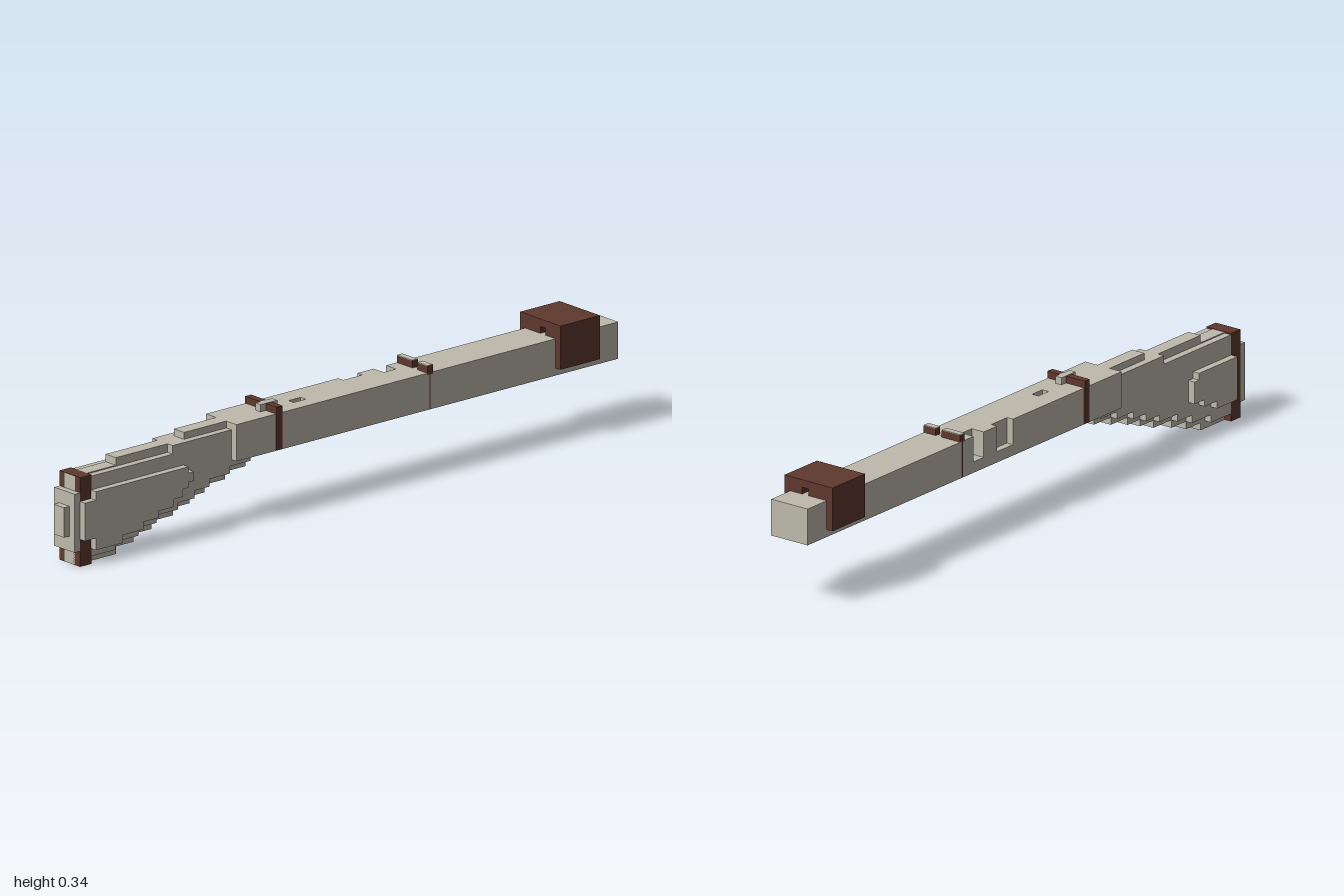
import * as THREE from 'three';

const wood = new THREE.MeshStandardMaterial({ color: 0xbebaac });
wood.name = 'pale grey';
const metal = new THREE.MeshStandardMaterial({ color: 0x5f392d });
metal.name = 'dark brown';

const toPath = (pts, P = THREE.Shape) => new P(pts.map(p => new THREE.Vector2(...p)));
const rect = (x0, x1, y0, y1) => [[x0, y0], [x1, y0], [x1, y1], [x0, y1]];

// Expand diagonal runs into stairs: each point moves in x first, then in y
function stairs(pts) {
  const out = [pts[0]];
  for (let i = 1; i < pts.length; i++) {
    const [px, py] = pts[i - 1], [x, y] = pts[i];
    if (px !== x && py !== y) out.push([x, py]);
    out.push([x, y]);
  }
  return out;
}

export function createModel() {
  const root = new THREE.Group();
  root.name = 'longGun';

  const add = (name, geo, mat) => {
    const m = new THREE.Mesh(geo, mat);
    m.name = name;
    root.add(m);
    return m;
  };
  const box = (name, mat, x0, x1, y0, y1, z0, z1) => {
    const g = new THREE.BoxGeometry(x1 - x0, y1 - y0, z1 - z0);
    g.translate((x0 + x1) / 2, (y0 + y1) / 2, (z0 + z1) / 2);
    return add(name, g, mat);
  };
  // Side profile (x, y) with thickness along z
  const slab = (name, pts, z0, z1) => {
    const g = new THREE.ExtrudeGeometry(toPath(stairs(pts)), { depth: z1 - z0, bevelEnabled: false });
    g.translate(0, 0, z0);
    return add(name, g, wood);
  };
  // Plan profile (x, -z) with thickness along y
  const layer = (name, pts, holes, y0, y1) => {
    const s = toPath(pts);
    s.holes = holes.map(h => toPath(h, THREE.Path));
    const g = new THREE.ExtrudeGeometry(s, { depth: y1 - y0, bevelEnabled: false });
    g.rotateX(-Math.PI / 2);
    g.translate(0, y0, 0);
    return add(name, g, wood);
  };

  // Barrel in three layers, with lock recesses in the back and a slot on top
  const W = 0.064;
  const notched = [[-0.405, -W], [0.995, -W], [0.995, W],
    [0.255, W], [0.255, 0.022], [0.21, 0.022], [0.21, W],
    [0.15, W], [0.15, 0.043], [0.08, 0.043], [0.08, W], [-0.405, W]];
  box('barrelBase', wood, -0.405, 0.995, 0.193, 0.225, -W, W);
  layer('barrelMiddle', notched, [], 0.225, 0.278);
  layer('barrelTop', notched, [rect(-0.155, -0.11, -0.018, 0.004)], 0.278, 0.3);

  // Muzzle cap with a sighting channel through its top
  const c0 = 0.765, c1 = 0.91;
  box('muzzleCapTop', metal, c0, c1, 0.32, 0.342, -0.085, 0.085);
  box('muzzleCapUpperLeft', metal, c0, c1, 0.3, 0.32, 0.022, 0.085);
  box('muzzleCapUpperRight', metal, c0, c1, 0.3, 0.32, -0.085, 0);
  for (const s of [-1, 1]) {
    const z = [s * 0.0635, s * 0.085].sort((a, b) => a - b);
    box('muzzleCapSide', metal, c0, c1, 0.215, 0.3, ...z);
  }

  // Rear band and its sight tab
  box('rearBand', metal, -0.26, -0.238, 0.194, 0.32, -0.066, 0.066);
  box('rearSightTab', wood, -0.28, -0.218, 0.3, 0.321, 0, 0.022);

  // Front sight in two halves, pale on top, with a fine ring down the barrel
  for (const [z0, z1] of [[-W, 0], [0.022, W]]) {
    box('frontSight', metal, 0.295, 0.315, 0.295, 0.32, z0, z1 + 0.001);
    box('frontSightTop', wood, 0.295, 0.315, 0.32, 0.322, z0, z1);
  }
  box('frontRing', metal, 0.303, 0.306, 0.194, 0.3, -0.065, 0.065);

  // Stock: narrow centre layer, then a wider layer set one step in
  slab('stockCentre', [[-0.96, 0], [-0.81, 0.022], [-0.745, 0.045], [-0.68, 0.068],
    [-0.6, 0.09], [-0.54, 0.11], [-0.485, 0.132], [-0.41, 0.154], [-0.335, 0.175],
    [-0.26, 0.194], [-0.405, 0.194], [-0.405, 0.3], [-0.56, 0.28], [-0.81, 0.258],
    [-0.96, 0.258]], -0.0215, 0.0215);
  slab('stockBody', [[-0.93, 0.022], [-0.83, 0.045], [-0.745, 0.068], [-0.68, 0.09],
    [-0.6, 0.11], [-0.54, 0.132], [-0.485, 0.154], [-0.41, 0.175], [-0.335, 0.194],
    [-0.405, 0.194], [-0.405, 0.28], [-0.62, 0.255], [-0.93, 0.255]], -0.043, 0.043);

  // Raised cheek panels, the front one larger
  slab('frontCheek', [[-0.92, 0.045], [-0.82, 0.068], [-0.745, 0.09], [-0.69, 0.11],
    [-0.635, 0.132], [-0.6, 0.154], [-0.58, 0.17], [-0.56, 0.17], [-0.56, 0.197],
    [-0.58, 0.197], [-0.58, 0.215], [-0.92, 0.215], [-0.92, 0.19], [-0.96, 0.19],
    [-0.96, 0.08], [-0.92, 0.08]], 0.043, W);
  slab('backCheek', [[-0.92, 0.068], [-0.83, 0.09], [-0.775, 0.11], [-0.73, 0.132],
    [-0.73, 0.175], [-0.75, 0.175], [-0.75, 0.195], [-0.92, 0.195]], -W, -0.043);

  // Butt plate and stepped butt pad
  box('buttPlate', metal, -0.96, -0.918, 0, 0.259, -0.0435, 0.0435);
  box('buttFootCentre', wood, -0.919, -0.9, 0, 0.022, -0.0215, 0.0215);
  box('buttPadInner', wood, -0.98, -0.96, 0.045, 0.215, -0.043, 0.043);
  box('buttPadOuter', wood, -1, -0.98, 0.088, 0.175, -0.0215, 0.0215);
  return root;
}
